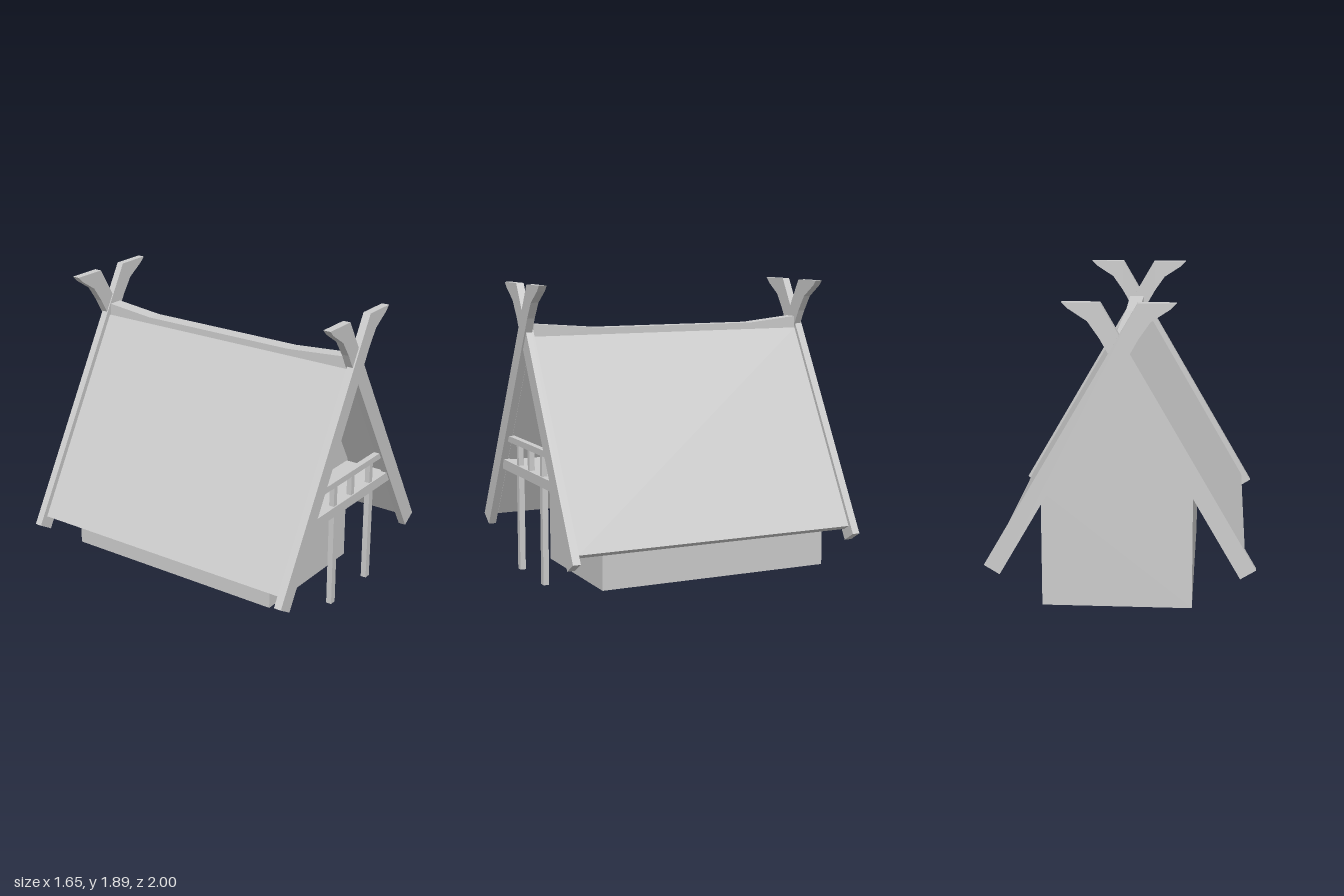
import * as THREE from 'three';

export function createModel() {
  const model = new THREE.Group();
  const grey = new THREE.MeshStandardMaterial({ color: 0xcccccc, flatShading: true });
  const thin = new THREE.MeshStandardMaterial({ color: 0xcccccc, flatShading: true, side: THREE.DoubleSide });

  const add = (name, geometry, material = grey) => {
    const mesh = new THREE.Mesh(geometry, material);
    mesh.name = name;
    model.add(mesh);
    return mesh;
  };
  const shapeOf = pts => new THREE.Shape(pts.map(([x, y]) => new THREE.Vector2(x, y)));
  // Extrude an x-y outline between two depths
  const slab = (pts, z0, z1) =>
    new THREE.ExtrudeGeometry(shapeOf(pts), { depth: z1 - z0, bevelEnabled: false }).translate(0, 0, z0);
  // Box given by its limits
  const box = (name, x0, x1, y0, y1, z0, z1) =>
    add(name, new THREE.BoxGeometry(x1 - x0, y1 - y0, z1 - z0))
      .position.set((x0 + x1) / 2, (y0 + y1) / 2, (z0 + z1) / 2);

  // House body: thin walls with gables, open underneath
  const left = 0.48, right = -0.44, wallFront = 0.66, wallBack = -0.93;
  const gable = [[right, 0], [left, 0], [left, 0.73], [0.01, 1.54], [right, 0.77]];
  add('frontWall', new THREE.ShapeGeometry(shapeOf(gable)).translate(0, 0, wallFront), thin);
  add('backWall', new THREE.ShapeGeometry(shapeOf(gable)).translate(0, 0, wallBack), thin);
  for (const [name, x, h] of [['leftWall', left, 0.73], ['rightWall', right, 0.77]]) {
    const wall = add(name, new THREE.PlaneGeometry(wallFront - wallBack, h), thin);
    wall.rotation.y = Math.PI / 2;
    wall.position.set(x, h / 2, (wallFront + wallBack) / 2);
  }

  // Steep roof: a chevron with a flat top under the ridge beam
  const half = [[0.77, 0.32], [0.053, 1.562]];
  const mid = 0.01;
  add('roof', slab([
    [mid + 0.72, 0.29],
    ...half.map(([x, y]) => [mid + x, y]),
    ...half.slice().reverse().map(([x, y]) => [mid - x, y]),
    [mid - 0.72, 0.29],
    [mid, 1.537],
  ], -0.945, 0.94));

  // Ridge beam rising towards both ends
  const ridge = new THREE.ExtrudeGeometry(shapeOf([
    [-0.94, 1.545], [0.94, 1.545], [0.94, 1.64], [0.5, 1.605], [-0.6, 1.605], [-0.94, 1.64],
  ]), { depth: 0.097, bevelEnabled: false });
  ridge.rotateY(-Math.PI / 2).translate(0.063, 0, 0);
  add('ridgeBeam', ridge);

  // Crossed gable boards with flared horns, rising from right to left
  const board = [
    [-0.825, 0.275], [-0.73, 0.217], [0.07, 1.6], [0.115, 1.68],
    [0.185, 1.78], [0.3, 1.855], [0.335, 1.89], [0.11, 1.89],
  ];
  const mirrored = board.map(([x, y]) => [-x, y]).reverse();
  add('frontGableBoardRight', slab(board, 0.95, 1.0));
  add('frontGableBoardLeft', slab(mirrored, 0.94, 0.99));
  add('backGableBoardRight', slab(board, -0.99, -0.943));
  add('backGableBoardLeft', slab(mirrored, -1.0, -0.95));

  // Balcony: floor, front beam, rail, balusters and posts
  box('balconyFloor', -0.455, 0.475, 0.655, 0.705, 0.66, 0.94);
  box('balconyBeam', -0.465, 0.485, 0.645, 0.71, 0.935, 0.98);
  box('balconyRail', -0.365, 0.385, 0.84, 0.88, 0.935, 0.975);
  for (const x of [-0.183, 0.025, 0.253])
    box('baluster', x - 0.018, x + 0.018, 0.71, 0.84, 0.938, 0.972);
  for (const x of [-0.178, 0.257])
    box('balconyPost', x - 0.022, x + 0.022, 0.022, 0.645, 0.938, 0.975);

  return model;
}
